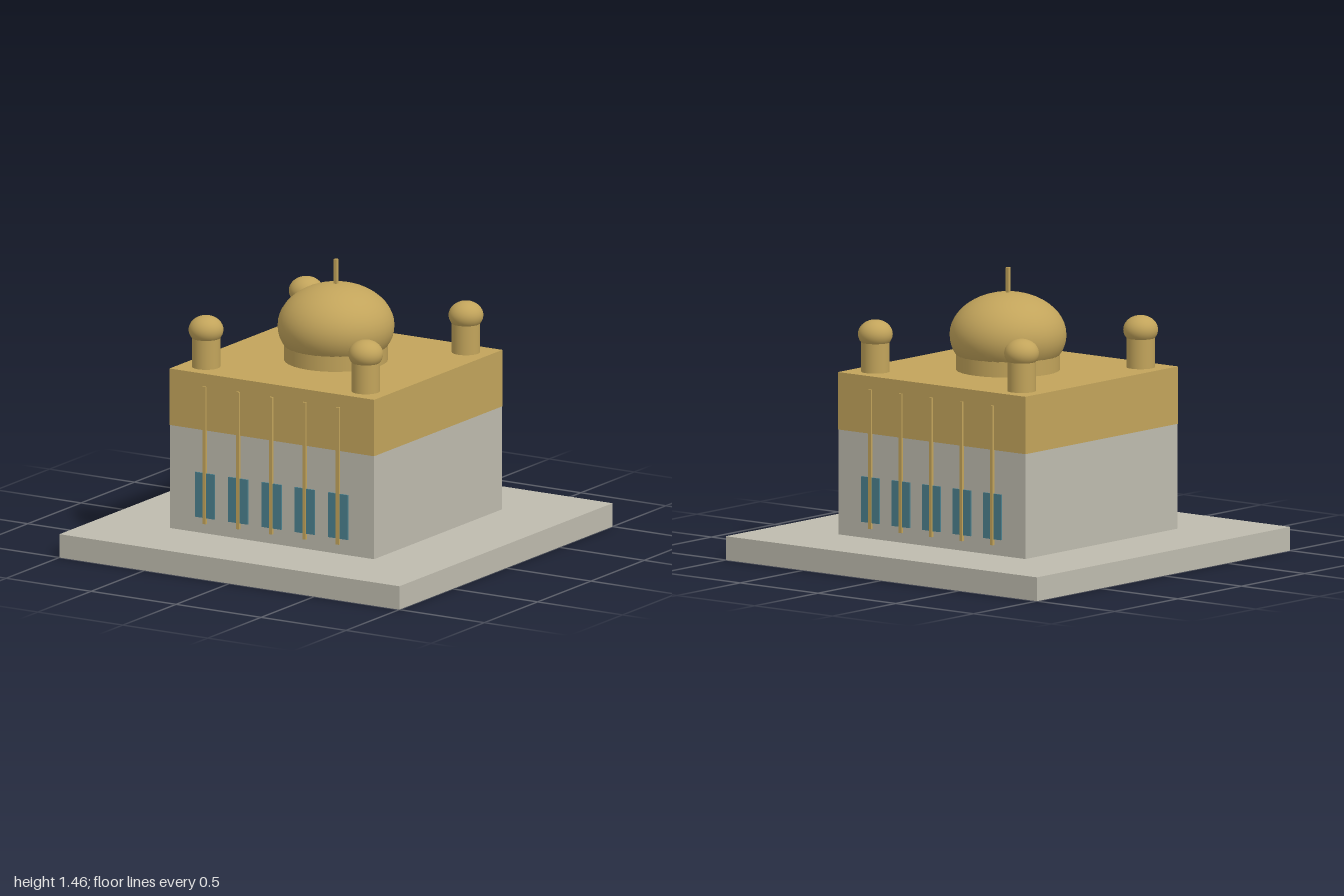
import * as THREE from 'three';

const stone = new THREE.MeshStandardMaterial({ name: 'stone', color: 0xbebbae });
const gold = new THREE.MeshStandardMaterial({ name: 'gold', color: 0xc2a45b });
const glass = new THREE.MeshStandardMaterial({ name: 'blueGlass', color: 0x4b808d });

export function createModel() {
  const model = new THREE.Group();
  model.name = 'domedHall';

  const add = (name, geometry, material, x, y, z) => {
    const mesh = new THREE.Mesh(geometry, material);
    mesh.name = name;
    mesh.position.set(x, y, z);
    model.add(mesh);
    return mesh;
  };
  // Box given by its bottom and top heights
  const box = (name, material, w, d, y0, y1, x = 0, z = 0) =>
    add(name, new THREE.BoxGeometry(w, y1 - y0, d), material, x, (y0 + y1) / 2, z);

  // Drum with a flattened, bulging dome on it
  const domed = (name, x, z, drumR, drumTop, domeR, domeH, domeY) => {
    const base = 0.94;
    add(name + 'Drum', new THREE.CylinderGeometry(drumR, drumR, drumTop - base, 32), gold, x, (base + drumTop) / 2, z);
    add(name + 'Dome', new THREE.SphereGeometry(domeR, 40, 24).scale(1, domeH / domeR, 1), gold, x, domeY, z);
  };

  // Plinth and walls
  box('plinth', stone, 2, 2, 0, 0.12);
  box('walls', stone, 1.2, 1.2, 0.12, 0.65);
  box('upperBand', gold, 1.204, 1.204, 0.65, 0.94);

  // Main dome and spire
  domed('main', 0, 0, 0.26, 1.025, 0.292, 0.215, 1.115);
  box('spire', gold, 0.018, 0.018, 1.32, 1.455);

  // Corner turrets
  for (const x of [-0.47, 0.47])
    for (const z of [-0.47, 0.47]) domed('turret', x, z, 0.071, 1.095, 0.087, 0.072, 1.13);

  // Windows and slender ribs on front and back
  for (const side of [-1, 1])
    for (let i = -2; i <= 2; i++) {
      const x = i * 0.196;
      box('window', glass, 0.115, 0.008, 0.2, 0.43, x, side * 0.604);
      box('rib', gold, 0.018, 0.014, 0.17, 0.875, x, side * 0.606);
    }

  return model;
}
